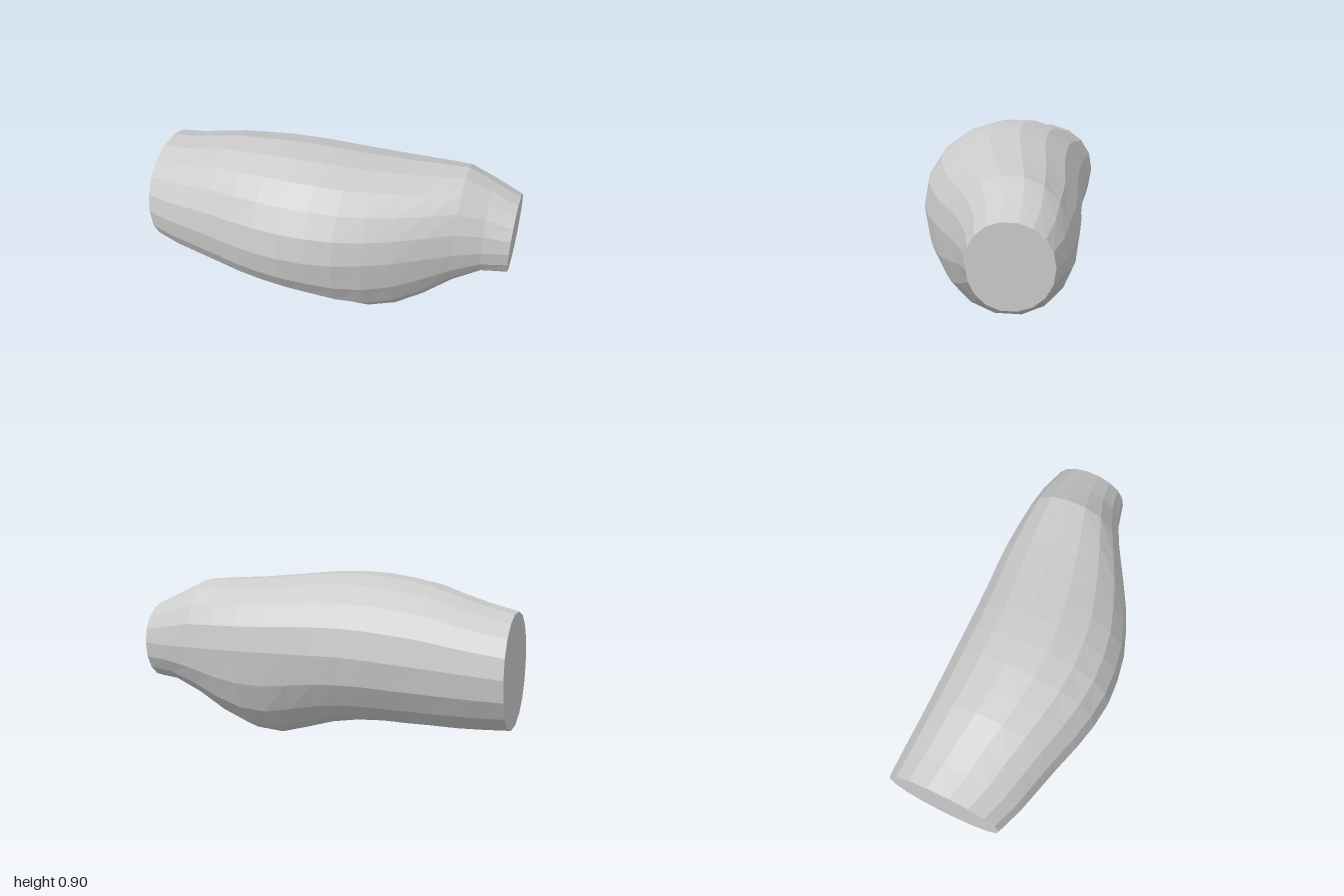
import * as THREE from 'three';

const SIDES = 18;

// Cross-sections, evenly spaced along x: [top, bottom, front, back, centre y, centre z]
const SECTIONS = [
  [0.75, 0.145, 0.215, -0.43, 0.46, -0.11],
  [0.78, 0.13, 0.27, -0.43, 0.47, -0.08],
  [0.82, 0.12, 0.31, -0.427, 0.48, -0.06],
  [0.865, 0.115, 0.35, -0.425, 0.49, -0.03],
  [0.89, 0.11, 0.395, -0.426, 0.50, -0.01],
  [0.91, 0.11, 0.43, -0.428, 0.51, 0.0],
  [0.917, 0.102, 0.448, -0.43, 0.517, 0.0],
  [0.914, 0.08, 0.44, -0.434, 0.517, -0.01],
  [0.902, 0.04, 0.415, -0.44, 0.517, -0.03],
  [0.888, 0.005, 0.365, -0.45, 0.517, -0.06],
  [0.876, 0.025, 0.30, -0.455, 0.517, -0.09],
  [0.87, 0.10, 0.22, -0.45, 0.517, -0.12],
  [0.862, 0.205, 0.135, -0.44, 0.517, -0.15],
  [0.79, 0.28, 0.065, -0.425, 0.517, -0.17],
  [0.725, 0.295, 0.03, -0.388, 0.517, -0.17],
];

// Slightly full oval built from four different quarter arcs
function ring([top, bottom, front, back, cy, cz], x) {
  const full = (v) => Math.sign(v) * Math.pow(Math.abs(v), 0.95);
  return Array.from({ length: SIDES }, (_, j) => {
    const a = (j / SIDES) * Math.PI * 2;
    const c = full(Math.cos(a));
    const s = full(Math.sin(a));
    return [
      x,
      cy + s * (s > 0 ? top - cy : cy - bottom),
      cz + c * (c > 0 ? front - cz : cz - back),
    ];
  });
}

function loft() {
  const last = SECTIONS.length - 1;
  const positions = [];
  const index = [];
  SECTIONS.forEach((section, i) => {
    positions.push(...ring(section, -1 + (2 * i) / last).flat());
  });

  // Centre points for the two flat ends
  const startCap = SECTIONS.length * SIDES;
  const endCap = startCap + 1;
  positions.push(-1, SECTIONS[0][4], SECTIONS[0][5]);
  positions.push(1, SECTIONS[last][4], SECTIONS[last][5]);

  for (let j = 0; j < SIDES; j++) {
    const k = (j + 1) % SIDES;
    for (let i = 0; i < last; i++) {
      const p = i * SIDES;
      const q = p + SIDES;
      index.push(p + j, q + j, q + k, p + j, q + k, p + k);
    }
    index.push(startCap, j, k);
    index.push(endCap, last * SIDES + k, last * SIDES + j);
  }

  const geometry = new THREE.BufferGeometry();
  geometry.setAttribute('position', new THREE.Float32BufferAttribute(positions, 3));
  geometry.setIndex(index);
  geometry.computeVertexNormals();
  return geometry;
}

export function createModel() {
  const group = new THREE.Group();
  group.name = 'limbSegment';
  const material = new THREE.MeshStandardMaterial({ color: 0xcccccc, flatShading: true });

  // Swelling limb with a bulge underneath and flat cut ends
  const limb = new THREE.Mesh(loft(), material);
  limb.name = 'limb';
  group.add(limb);
  return group;
}
